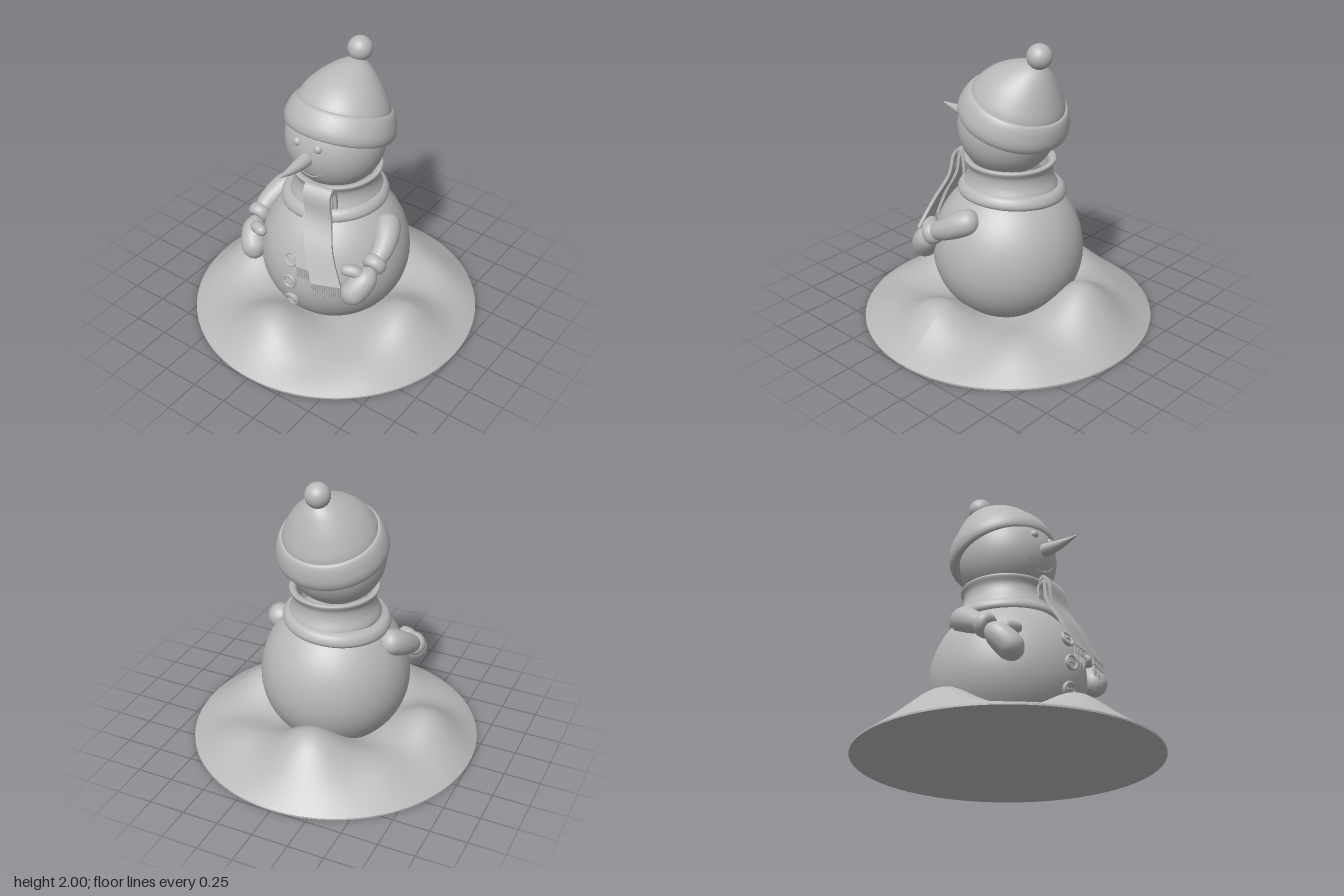
import * as THREE from 'three';
import { toCreasedNormals } from 'three/addons/utils/BufferGeometryUtils.js';

const V = (x, y, z) => new THREE.Vector3(x, y, z);
const clay = new THREE.MeshStandardMaterial({ color: 0xb8b8b8 });
clay.name = 'clay grey';

function add(parent, name, geometry, x = 0, y = 0, z = 0) {
  const mesh = new THREE.Mesh(geometry, clay);
  mesh.name = name;
  mesh.position.set(x, y, z);
  parent.add(mesh);
  return mesh;
}

// Smooth lathe through a few [radius, height] points, listed bottom to top
function lathe(points, segments = 64) {
  const curve = new THREE.SplineCurve(points.map(p => new THREE.Vector2(...p)));
  const pts = curve.getPoints(points.length * 5);
  pts.forEach(p => { p.x = Math.max(0, p.x); });
  return new THREE.LatheGeometry(pts, segments);
}

// Closed skin over a row of equal rings
function loft(rings) {
  const n = rings[0].length, last = (rings.length - 1) * n, index = [];
  for (let i = 0; i < rings.length - 1; i++) {
    for (let j = 0; j < n; j++) {
      const a = i * n + j, b = i * n + (j + 1) % n;
      index.push(a, b, a + n, b, b + n, a + n);
    }
  }
  for (let j = 1; j < n - 1; j++) {
    index.push(0, j + 1, j, last, last + j, last + j + 1);
  }
  const g = new THREE.BufferGeometry().setFromPoints(rings.flat());
  g.setIndex(index);
  g.computeVertexNormals();
  return g;
}

// Round limb with varying radius and rounded ends
function limb(points, radii, round = 0.2, steps = 28, sides = 20) {
  const path = new THREE.CatmullRomCurve3(points);
  const size = new THREE.SplineCurve(radii.map((r, i) => new THREE.Vector2(i, r)));
  const { normals, binormals } = path.computeFrenetFrames(steps);
  const rings = [];
  for (let i = 0; i <= steps; i++) {
    const t = i / steps, c = path.getPointAt(t);
    const e = Math.min(1, Math.min(t, 1 - t) / round);
    const r = size.getPoint(t).y * Math.max(0.02, Math.sqrt(1 - (1 - e) ** 2));
    rings.push(Array.from({ length: sides }, (_, j) => {
      const a = j / sides * Math.PI * 2;
      return c.clone().addScaledVector(normals[i], r * Math.cos(a)).addScaledVector(binormals[i], r * Math.sin(a));
    }));
  }
  return loft(rings);
}

// Flat cloth strip between a left and a right edge
function ribbon(left, right, thick = 0.022, steps = 36) {
  const L = new THREE.CatmullRomCurve3(left), R = new THREE.CatmullRomCurve3(right);
  const rings = [];
  for (let i = 0; i <= steps; i++) {
    const t = i / steps, l = L.getPoint(t), r = R.getPoint(t);
    const f = L.getTangent(t).cross(r.clone().sub(l)).normalize().multiplyScalar(thick / 2);
    rings.push([r.clone().sub(f), r.clone().add(f), l.clone().add(f), l.clone().sub(f)]);
  }
  return toCreasedNormals(loft(rings), 0.7);
}

// Drifts of the snow mound: x, z, height, spread
const drifts = [
  [-0.08, 0.62, 0.19, 0.19], [0.61, 0.08, 0.2, 0.19], [-0.66, 0.06, 0.21, 0.2],
  [-0.08, -0.59, 0.3, 0.22], [0.5, -0.55, 0.1, 0.17], [-0.55, -0.45, 0.08, 0.16],
  [0.6, 0.55, 0.04, 0.17],
];
function snowHeight(x, z) {
  const r = Math.min(1, Math.hypot(x, z));
  let h = 0.075;
  for (const [px, pz, a, s] of drifts) h += a * Math.exp(-((x - px) ** 2 + (z - pz) ** 2) / (2 * s * s));
  return 0.012 + h * (1 - r ** 7);
}

function createMound(model) {
  const top = new THREE.RingGeometry(0.02, 1, 96, 36).rotateX(-Math.PI / 2);
  const p = top.attributes.position;
  for (let i = 0; i < p.count; i++) p.setY(i, snowHeight(p.getX(i), p.getZ(i)));
  top.computeVertexNormals();
  add(model, 'snowMound', top);
  add(model, 'moundRim', new THREE.CylinderGeometry(1, 1, 0.012, 96, 1, true), 0, 0.006, 0);
  add(model, 'moundUnderside', new THREE.CircleGeometry(1, 96).rotateX(Math.PI / 2));
}

function createFace(model) {
  add(model, 'head', new THREE.SphereGeometry(0.337, 56, 40), 0, 1.4, 0).scale.z = 0.975;
  for (const s of [-1, 1]) add(model, 'eye', new THREE.SphereGeometry(0.03, 20, 14), s * 0.08, 1.48, 0.3);
  add(model, 'carrotNose', limb(
    [V(0, 1.388, 0.27), V(0, 1.382, 0.38), V(0, 1.386, 0.49), V(0, 1.4, 0.6)],
    [0.05, 0.042, 0.026, 0.006], 0.04));
  // Smile lies on the surface of the head
  const smile = [];
  for (let i = -6; i <= 6; i++) {
    const x = i * 0.02, y = -0.16 + 0.07 * (i / 6) ** 2;
    smile.push(V(x, 1.4 + y, 0.975 * Math.sqrt(0.337 ** 2 - x * x - y * y)));
  }
  add(model, 'smile', new THREE.TubeGeometry(new THREE.CatmullRomCurve3(smile), 40, 0.004, 6));
}

function createHat(model) {
  const hat = new THREE.Group();
  hat.name = 'hat';
  hat.position.set(0, 1.425, -0.035);
  hat.rotation.x = -0.322;
  const crown = lathe([[0.315, 0.1], [0.312, 0.18], [0.282, 0.25], [0.222, 0.335], [0.135, 0.42], [0.06, 0.468], [0, 0.482]]);
  // Crown leans back toward its tip
  const p = crown.attributes.position;
  for (let i = 0; i < p.count; i++) {
    const lean = Math.max(0, p.getY(i) - 0.25) / 0.232;
    p.setZ(i, p.getZ(i) - 0.06 * lean * lean);
  }
  crown.computeVertexNormals();
  add(hat, 'hatCrown', crown);
  add(hat, 'hatBrim', lathe([[0.31, 0.01], [0.345, -0.003], [0.366, 0.02], [0.37, 0.07], [0.35, 0.14],
    [0.326, 0.182], [0.305, 0.188]]));
  model.add(hat);
  add(model, 'pompom', new THREE.SphereGeometry(0.083, 32, 24), 0, 1.917, -0.265);
}

function createTail(model, left, right, strands) {
  add(model, 'scarfTail', ribbon(left, right));
  const a = left.at(-1), b = right.at(-1);
  // Fringe strands with a knot at the top of each
  for (let i = 0; i < strands; i++) {
    const c = a.clone().lerp(b, (i + 0.5) / strands);
    const length = 0.1 + 0.012 * (i % 3 - 1);
    add(model, 'fringeStrand', new THREE.CylinderGeometry(0.0055, 0.004, length, 6), c.x, c.y - length / 2, c.z)
      .rotation.z = 0.08 * (i % 2 - 0.5);
    add(model, 'fringeKnot', new THREE.CylinderGeometry(0.008, 0.008, 0.045, 8), c.x, c.y - 0.022, c.z + 0.002);
  }
}

function createScarf(model) {
  const collar = add(model, 'scarfCollar', lathe([[0.25, 0.98], [0.295, 0.965], [0.312, 0.99], [0.285, 1.06],
    [0.28, 1.12], [0.3, 1.165], [0.29, 1.18], [0.25, 1.16], [0.24, 1.05]]), 0, 0, -0.02);
  collar.scale.z = 1.03;
  const wrap = add(model, 'scarfLowerWrap', lathe([[0.28, -0.045], [0.345, -0.05], [0.365, -0.02],
    [0.345, 0.025], [0.3, 0.045]]), -0.02, 0.96, -0.02);
  wrap.rotation.z = 0.07;
  // Back tail
  createTail(model,
    [V(0, 1.02, 0.27), V(-0.01, 1.14, 0.28), V(-0.005, 1.165, 0.31), V(-0.002, 1.02, 0.335), V(0.015, 0.85, 0.435), V(0.05, 0.66, 0.51)],
    [V(0.16, 1.02, 0.25), V(0.16, 1.14, 0.26), V(0.16, 1.165, 0.29), V(0.17, 1.02, 0.315), V(0.18, 0.85, 0.41), V(0.2, 0.66, 0.485)], 10);
  // Front tail
  createTail(model,
    [V(-0.015, 1.02, 0.27), V(-0.015, 1.15, 0.28), V(-0.013, 1.188, 0.315), V(0, 1.14, 0.355), V(0.02, 1.0, 0.365), V(0.09, 0.82, 0.47), V(0.195, 0.61, 0.545)],
    [V(0.18, 1.02, 0.235), V(0.18, 1.15, 0.25), V(0.182, 1.188, 0.285), V(0.188, 1.14, 0.325), V(0.215, 1.0, 0.345), V(0.28, 0.82, 0.425), V(0.385, 0.62, 0.48)], 13);
}

function createButtons(model) {
  for (const y of [0.685, 0.52, 0.35]) {
    const dy = (y - 0.5) / (y > 0.5 ? 0.55 : 0.5);
    const button = new THREE.Group();
    button.name = 'button';
    button.position.set(0, y, 0.515 * Math.sqrt(1 - dy * dy));
    button.rotation.x = -Math.asin(dy);
    add(button, 'buttonDisc', new THREE.CylinderGeometry(0.05, 0.05, 0.024, 32).rotateX(Math.PI / 2), 0, 0, 0.005);
    add(button, 'buttonRim', new THREE.TorusGeometry(0.045, 0.01, 10, 36), 0, 0, 0.016);
    add(button, 'buttonThread', new THREE.CapsuleGeometry(0.006, 0.032, 4, 8).rotateZ(Math.PI / 2), 0, 0, 0.02);
    for (const s of [-1, 1]) {
      add(button, 'buttonHole', new THREE.TorusGeometry(0.009, 0.003, 6, 14), s * 0.018, 0, 0.017);
    }
    model.add(button);
  }
}

function createArm(model, s) {
  const arm = new THREE.Group();
  arm.name = s > 0 ? 'leftArm' : 'rightArm';
  const P = (x, y, z) => V(s * x, y, z);
  add(arm, 'sleeve', limb([P(0.36, 0.86, -0.08), P(0.425, 0.82, 0.01), P(0.468, 0.76, 0.12), P(0.48, 0.69, 0.26)],
    [0.085, 0.088, 0.073, 0.055]));
  const cuff = add(arm, 'cuff', new THREE.TorusGeometry(0.046, 0.036, 14, 32), s * 0.478, 0.7, 0.235);
  cuff.quaternion.setFromUnitVectors(V(0, 0, 1), P(0.02, -0.4, 0.85).normalize());
  cuff.scale.z = 1.3;
  add(arm, 'mitten', limb([P(0.48, 0.69, 0.25), P(0.462, 0.62, 0.32), P(0.425, 0.55, 0.375), P(0.375, 0.46, 0.425)],
    [0.055, 0.082, 0.09, 0.075], 0.28));
  add(arm, 'thumb', limb([P(0.45, 0.63, 0.33), P(0.41, 0.68, 0.355), P(0.315, 0.685, 0.39)],
    [0.04, 0.042, 0.036], 0.25, 18, 16));
  model.add(arm);
}

export function createModel() {
  const model = new THREE.Group();
  model.name = 'snowman';
  createMound(model);

  // Body is a little taller above its middle than below
  const body = new THREE.SphereGeometry(1, 64, 48);
  const p = body.attributes.position;
  for (let i = 0; i < p.count; i++) {
    const y = p.getY(i);
    p.setXYZ(i, p.getX(i) * 0.512, y * (y > 0 ? 0.55 : 0.495), p.getZ(i) * 0.518);
  }
  body.computeVertexNormals();
  add(model, 'body', body, 0, 0.5, 0);

  createFace(model);
  createHat(model);
  createScarf(model);
  createButtons(model);
  for (const s of [-1, 1]) createArm(model, s);
  return model;
}
